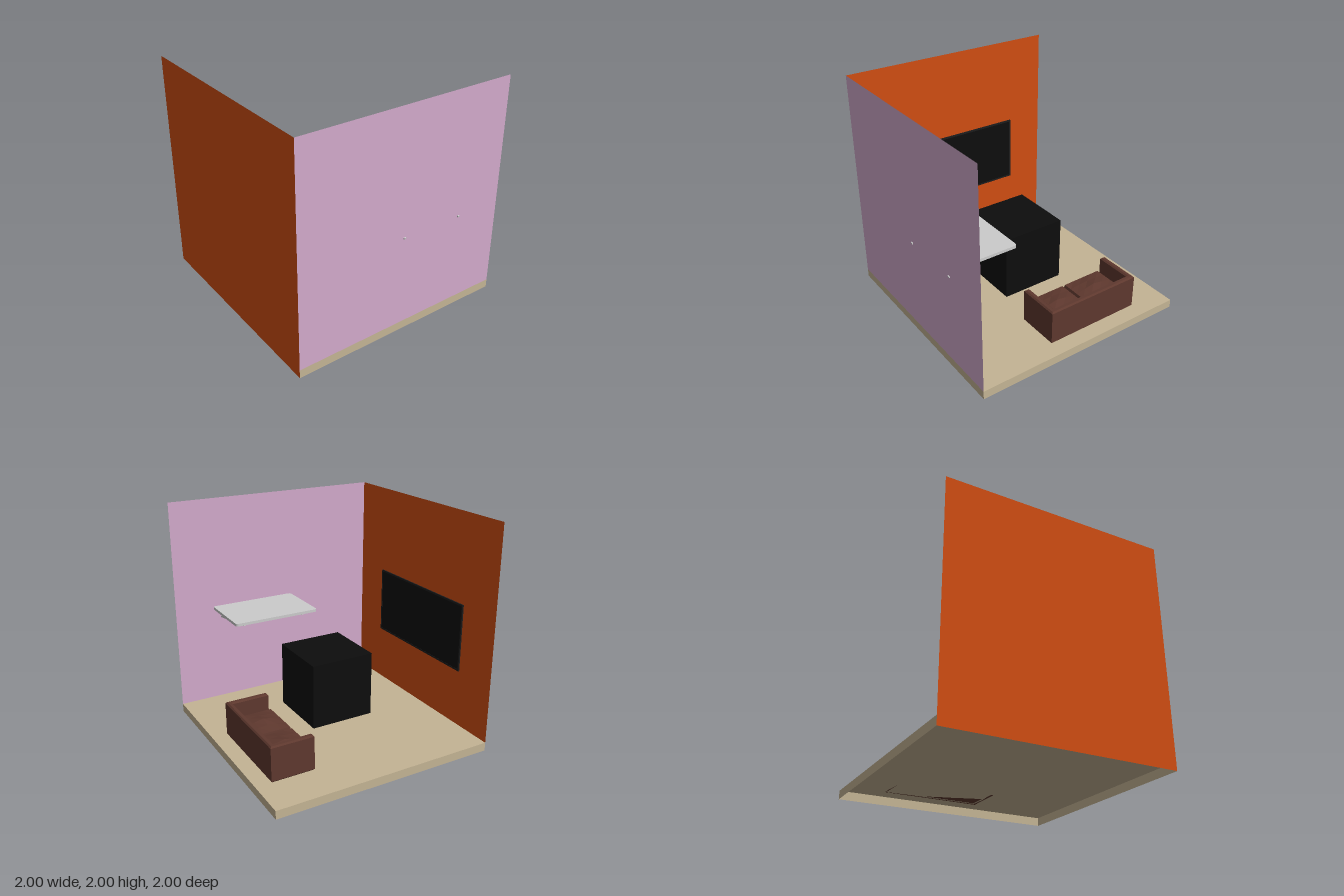
import * as THREE from 'three';
import { RoundedBoxGeometry } from 'three/addons/geometries/RoundedBoxGeometry.js';

const mat = (color, extra = {}) => new THREE.MeshStandardMaterial({ color, ...extra });
const thin = { side: THREE.DoubleSide };
const M = {
  orange: mat(0xd04d12, thin), pink: mat(0xd2a9cb, thin), floor: mat(0xc4b494, thin),
  sofa: mat(0x5e382e, { flatShading: true }), black: mat(0x0d0d0d), frame: mat(0x1c1c1c), grey: mat(0xcccccc),
};

function add(parent, name, geometry, material, x = 0, y = 0, z = 0) {
  const mesh = new THREE.Mesh(geometry, material);
  mesh.name = name;
  mesh.position.set(x, y, z);
  parent.add(mesh);
  return mesh;
}

const FLOOR = 0.075, LEFT = -1, RIGHT = 0.99;
const MID = (LEFT + RIGHT) / 2, WIDTH = RIGHT - LEFT;

// Thin walls and a floor slab that is open underneath
function room() {
  const g = new THREE.Group();
  g.name = 'room';
  add(g, 'frontWall', new THREE.PlaneGeometry(WIDTH, 2), M.orange, MID, 1, 1);
  add(g, 'sideWall', new THREE.PlaneGeometry(2, 2 - FLOOR), M.pink, RIGHT, 1 + FLOOR / 2, 0).rotation.y = Math.PI / 2;
  add(g, 'floorTop', new THREE.PlaneGeometry(WIDTH, 2), M.floor, MID, FLOOR, 0).rotation.x = -Math.PI / 2;
  add(g, 'floorBackEdge', new THREE.PlaneGeometry(WIDTH, FLOOR), M.floor, MID, FLOOR / 2, -1).rotation.y = Math.PI;
  for (const x of [LEFT, RIGHT])
    add(g, 'floorSideEdge', new THREE.PlaneGeometry(2, FLOOR), M.floor, x, FLOOR / 2, 0).rotation.y = Math.sign(x) * Math.PI / 2;
  return g;
}

// Cushion: a box whose top rises in facets to a centre peak
function cushionGeometry(w, h, d) {
  const geo = new THREE.BoxGeometry(w, h, d, 4, 2, 4);
  const p = geo.attributes.position;
  for (let i = 0; i < p.count; i++) {
    const u = Math.abs(p.getX(i)) / (w / 2), v = Math.abs(p.getZ(i)) / (d / 2);
    if (p.getY(i) > h / 2 - 1e-4) {
      p.setY(i, h / 2 + 0.025 * (1 - u) * (1 - v) + 0.01 * (1 - Math.max(u, v)));
      p.setX(i, p.getX(i) * 0.95);
      p.setZ(i, p.getZ(i) * 0.95);
    }
  }
  geo.computeVertexNormals();
  return geo;
}

function sofa() {
  const g = new THREE.Group();
  g.name = 'sofa';
  // Back and arms as one U-shaped shell with a bevelled rim
  const b = 0.012, x0 = -0.655 + b, x1 = 0.235 - b, back = 0.865 - b, front = 0.48 + b, t = 0.05 - 2 * b;
  const u = new THREE.Shape([
    [x0, front], [x0 + t, front], [x0 + t, back - t], [x1 - t, back - t],
    [x1 - t, front], [x1, front], [x1, back], [x0, back],
  ].map(([x, y]) => new THREE.Vector2(x, y)));
  const shell = new THREE.ExtrudeGeometry(u, {
    depth: 0.318 - 2 * b, bevelEnabled: true, bevelSize: b, bevelThickness: b, bevelSegments: 1,
  });
  shell.rotateX(-Math.PI / 2);
  add(g, 'backAndArms', shell, M.sofa, 0, FLOOR + b, 0);
  add(g, 'seatBase', new THREE.BoxGeometry(0.8, 0.09, 0.335), M.sofa, -0.21, FLOOR + 0.045, -0.6475);
  add(g, 'backPad', new THREE.BoxGeometry(0.79, 0.15, 0.02), M.sofa, -0.21, 0.27, -0.806);
  for (const x of [-0.41, -0.005])
    add(g, 'cushion', cushionGeometry(0.395, 0.08, 0.345), M.sofa, x, 0.205, -0.6255);
  return g;
}

// Wall shelf with rounded corners, carried by two slanted struts that pierce the wall
function shelf() {
  const g = new THREE.Group();
  g.name = 'shelf';
  const w = 0.535, d = 0.8, r = 0.025, s = new THREE.Shape();
  [[1, 1, 0], [-1, 1, 1], [-1, -1, 2], [1, -1, 3]].forEach(([sx, sy, q]) =>
    s.absarc(sx * (w / 2 - r), sy * (d / 2 - r), r, q * Math.PI / 2, (q + 1) * Math.PI / 2));
  const board = new THREE.ExtrudeGeometry(s, { depth: 0.025, bevelEnabled: false, curveSegments: 6 });
  board.rotateX(-Math.PI / 2);
  add(g, 'shelfBoard', board, M.grey, 0.6975, 0.977, -0.25);
  const a = new THREE.Vector2(0.45, 0.972), e = new THREE.Vector2(0.998, 0.882);
  for (const z of [0.01, -0.56]) {
    const strut = add(g, 'strut', new THREE.BoxGeometry(a.distanceTo(e), 0.014, 0.02), M.grey,
      (a.x + e.x) / 2, (a.y + e.y) / 2, z);
    strut.rotation.z = Math.atan2(e.y - a.y, e.x - a.x);
  }
  return g;
}

// Flat screen facing the room, with a slim raised frame
function screen() {
  const g = new THREE.Group();
  g.name = 'screen';
  const w = 1.21, h = 0.61, f = 0.015;
  add(g, 'panel', new THREE.BoxGeometry(w - f, h - f, 0.008), M.black);
  for (const s of [-1, 1]) {
    add(g, 'frameRail', new THREE.BoxGeometry(w, f, 0.012), M.frame, 0, s * (h - f) / 2, 0);
    add(g, 'frameStile', new THREE.BoxGeometry(f, h - 2 * f, 0.012), M.frame, s * (w - f) / 2, 0, 0);
  }
  g.position.set(-0.03, 0.915, 0.965);
  return g;
}

export function createModel() {
  const model = new THREE.Group();
  model.name = 'livingRoom';
  model.add(room(), sofa(), shelf(), screen());
  // Floating cube in the middle of the room
  add(model, 'cube', new THREE.BoxGeometry(0.572, 0.572, 0.572), M.black, -0.004, 0.512, -0.002);
  return model;
}
